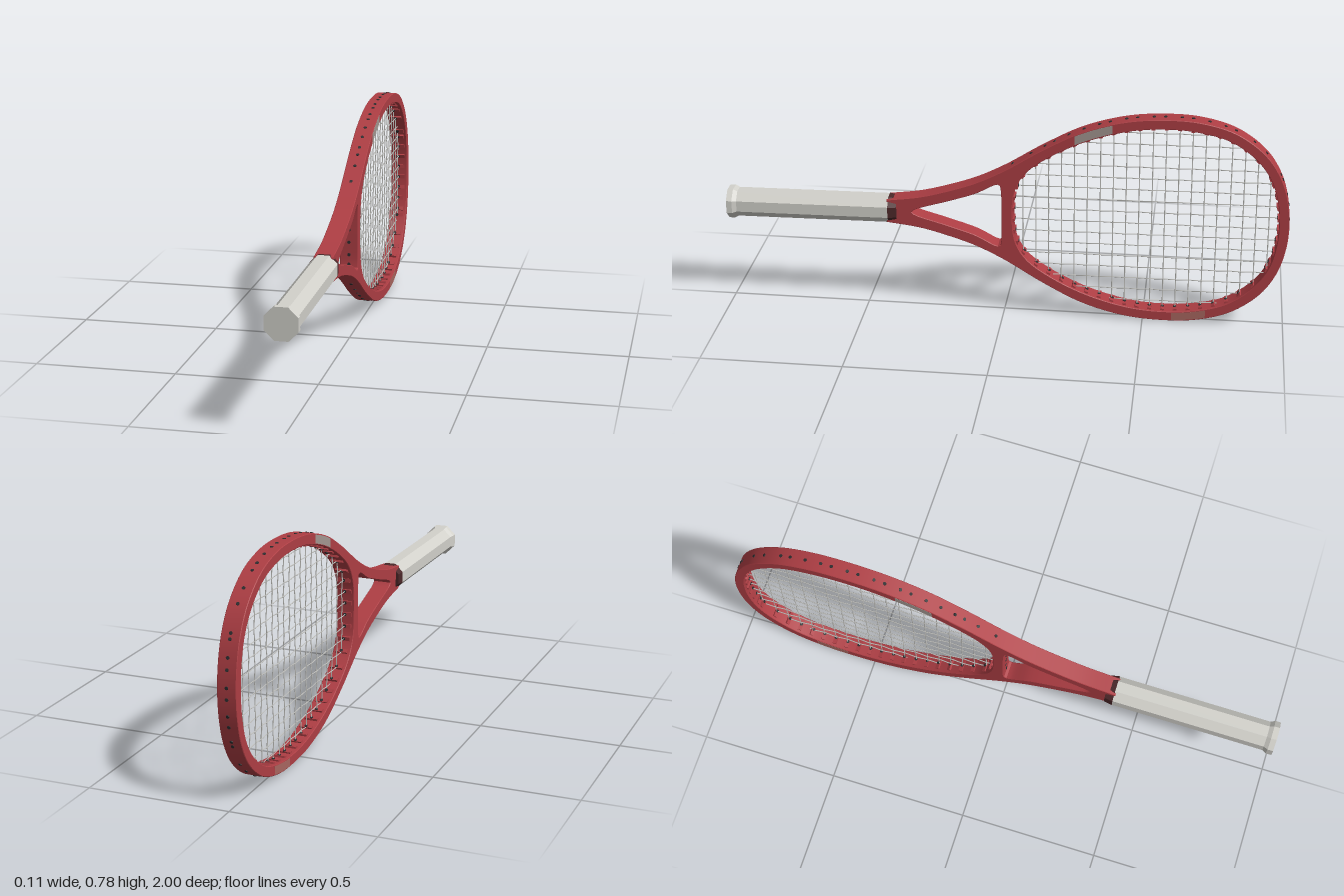
import * as THREE from 'three';
import { toCreasedNormals } from 'three/addons/utils/BufferGeometryUtils.js';

const mat = (name, color) => Object.assign(new THREE.MeshStandardMaterial({ color }), { name });
const V2 = (z, y) => new THREE.Vector2(z, y);

// Half outlines as [z, distance from the long axis]
const OUTER = [[-1, 0], [-.992, .09], [-.965, .18], [-.91, .265], [-.81, .34], [-.69, .377], [-.57, .385],
  [-.43, .373], [-.28, .33], [-.14, .258], [0, .172], [.1, .122], [.2, .087], [.3, .06], [.42, .043]];
const HEAD = [[-.965, 0], [-.957, .09], [-.93, .175], [-.875, .25], [-.785, .313], [-.67, .343], [-.57, .35],
  [-.45, .34], [-.3, .298], [-.17, .235], [-.08, .168], [-.04, .1], [-.03, 0]];
const THROAT = [[.33, 0], [.32, .009], [.2, .047], [.1, .081], [.03, .117], [.015, .118], [.01, .1], [.008, 0]];
const HALF_X = 0.033;

function spline(points, closed, n) {
  const c = new THREE.CatmullRomCurve3(points.map(([z, y]) => new THREE.Vector3(z, y, 0)), closed, 'centripetal');
  const out = c.getSpacedPoints(n).map(p => V2(p.x, p.y));
  if (closed) out.pop();
  return out;
}
const mirrored = half => half.slice(1, -1).reverse().map(([z, y]) => [z, -y]);
const closedOutline = (half, n) => spline([...half, ...mirrored(half)], true, n);

// Sorted crossings of an outline with the line where axis = value
function crossings(outline, axis, value) {
  const other = axis === 'x' ? 'y' : 'x', found = [];
  outline.forEach((a, i) => {
    const b = outline[(i + 1) % outline.length];
    if ((a[axis] < value) !== (b[axis] < value)) {
      const t = (value - a[axis]) / (b[axis] - a[axis]);
      found.push(a[other] + t * (b[other] - a[other]));
    }
  });
  return found.sort((p, q) => p - q);
}

// Extrude a (z, y) shape across x, centred on x = 0
function slab(shape, width, bevel) {
  const g = new THREE.ExtrudeGeometry(shape, {
    depth: width - 2 * bevel, bevelEnabled: bevel > 0, bevelThickness: bevel,
    bevelSize: bevel, bevelOffset: -bevel, bevelSegments: 1,
  });
  g.translate(0, 0, bevel - width / 2);
  g.rotateY(-Math.PI / 2);
  return g;
}

export function createModel() {
  const model = new THREE.Group();
  model.name = 'racket';
  const red = mat('frame red', 0xae3e44);
  const grey = mat('grip grey', 0xd2d1cb);
  const light = mat('string light grey', 0xc8c8c4);
  const dark = mat('grommet dark', 0x2e2e30);
  const collarDark = mat('collar dark red', 0x4a2628);
  const patchGrey = mat('patch grey', 0xa39690);
  const patchPink = mat('patch dusty red', 0xa8665f);

  const add = (parent, name, geometry, material) => {
    const m = new THREE.Mesh(geometry, material);
    m.name = name;
    parent.add(m);
    return m;
  };
  const group = name => {
    const g = new THREE.Group();
    g.name = name;
    model.add(g);
    return g;
  };

  // Frame with the string opening and the throat opening; outer runs
  // counter-clockwise, both openings clockwise
  const rear = OUTER.slice(1).reverse().map(([z, y]) => [z, -y]);
  const outer = spline([...rear, ...OUTER], false, 180).reverse();
  const head = closedOutline(HEAD, 140);
  const throat = closedOutline(THROAT, 80).reverse();
  const frame = new THREE.Shape(outer);
  frame.holes.push(new THREE.Path(head), new THREE.Path(throat));
  add(model, 'frame', toCreasedNormals(slab(frame, HALF_X * 2, 0.002), 0.45), red);

  // Painted patches on both faces of the hoop
  const patches = group('paintPatches');
  for (const [z0, z1, top, paint] of [[-.38, -.25, true, patchGrey], [-.72, -.6, false, patchPink]]) {
    const inside = [], outside = [];
    for (let i = 0; i <= 6; i++) {
      const z = z0 + (z1 - z0) * i / 6;
      const o = crossings(outer, 'x', z), h = crossings(head, 'x', z);
      outside.push(V2(z, top ? o.at(-1) - .004 : o[0] + .004));
      inside.push(V2(z, top ? h.at(-1) + .004 : h[0] - .004));
    }
    const shape = new THREE.Shape([...outside, ...inside.reverse()]);
    for (const side of [-1, 1]) {
      add(patches, 'paintPatch', slab(shape, .002, 0), paint).position.x = side * (HALF_X - .0003);
    }
  }

  // Grommets: a dark tube through the hoop and a red ridge on its inside
  const grommets = group('grommets');
  const rims = [...outer, ...throat];
  const placed = [];
  const tubeGeo = new THREE.CylinderGeometry(.006, .006, 1, 8);
  const ridgeGeo = new THREE.BoxGeometry(.046, .012, .014);
  const up = new THREE.Vector3(0, 1, 0);
  function grommet(z, y) {
    const p = V2(z, y);
    if (placed.some(o => o.distanceTo(p) < .026)) return;
    placed.push(p);
    const q = rims.reduce((best, r) => (r.distanceTo(p) < best.distanceTo(p) ? r : best));
    const dir = q.clone().sub(p).normalize();
    const a = p.clone().addScaledVector(dir, -.008), b = q.clone().addScaledVector(dir, .002);
    const turn = new THREE.Quaternion().setFromUnitVectors(up, new THREE.Vector3(0, dir.y, dir.x));
    const tube = add(grommets, 'grommetTube', tubeGeo, dark);
    tube.position.set(0, (a.y + b.y) / 2, (a.x + b.x) / 2);
    tube.scale.y = a.distanceTo(b);
    tube.quaternion.copy(turn);
    const ridge = add(grommets, 'grommetRidge', ridgeGeo, red);
    ridge.position.set(0, p.y, p.x);
    ridge.quaternion.copy(turn);
  }

  // Woven string bed: mains run along z, crosses along y
  const strings = group('strings');
  const ys = Array.from({ length: 16 }, (_, i) => (i - 7.5) * .043);
  const zs = Array.from({ length: 20 }, (_, i) => -.93 + i * .0455);
  function weave(name, ends, knots, sign, place) {
    const pts = [place(0, ends[0])];
    knots.forEach((k, j) => {
      if (k > ends[0] + .008 && k < ends[1] - .008) pts.push(place(.0015 * sign * (j % 2 ? -1 : 1), k));
    });
    pts.push(place(0, ends[1]));
    const curve = new THREE.CatmullRomCurve3(pts);
    add(strings, name, new THREE.TubeGeometry(curve, pts.length * 2, .002, 4), light);
  }
  zs.forEach((z, i) => {
    const ends = crossings(head, 'x', z);
    weave('crossString', [ends[0], ends.at(-1)], ys, i % 2 ? -1 : 1, (x, y) => new THREE.Vector3(x, y, z));
    grommet(z, ends[0]);
    grommet(z, ends.at(-1));
  });
  ys.forEach((y, i) => {
    const ends = crossings(head, 'y', y);
    weave('mainString', [ends[0], ends.at(-1)], zs, i % 2 ? 1 : -1, (x, z) => new THREE.Vector3(x, y, z));
    grommet(ends[0], y);
    grommet(ends.at(-1), y);
  });

  // Eight-sided prism along z; half0 and half1 are the flat-to-flat half widths
  function octagon(name, z0, z1, half0, half1, material) {
    const k = 1 / Math.cos(Math.PI / 8);
    const g = new THREE.CylinderGeometry(half1 * k, half0 * k, z1 - z0, 8);
    g.rotateY(Math.PI / 8);
    g.rotateX(Math.PI / 2);
    g.translate(0, 0, (z0 + z1) / 2);
    add(model, name, toCreasedNormals(g, 0.2), material);
  }
  octagon('collar', .385, .415, .044, .049, collarDark);
  octagon('grip', .41, .975, .048, .048, grey);
  octagon('buttFlare', .965, .98, .048, .055, grey);
  octagon('buttCap', .98, 1, .055, .055, grey);

  // The head sits slightly higher than the grip
  model.position.y = .3825;
  model.rotation.x = .0095;
  const root = new THREE.Group();
  root.name = 'model';
  root.add(model);
  return root;
}
